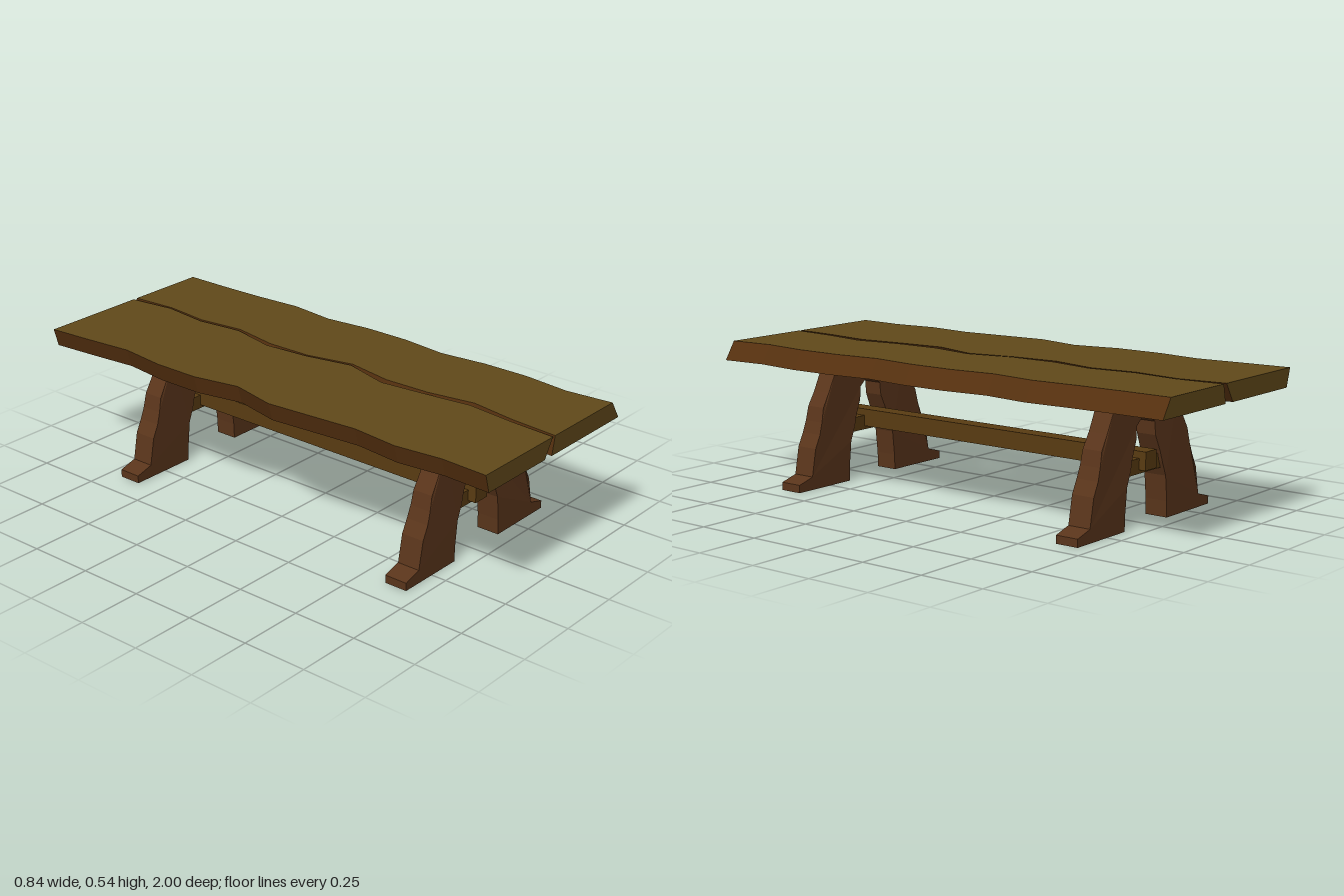
import * as THREE from 'three';

const paint = (color) => new THREE.MeshStandardMaterial({ color, flatShading: true });

const TOP = 0.535, UNDER = 0.465;

// Wavy slab: left and right top edges sampled along z, undersides shifted sideways.
function makePlank(name, left, right, leftShift, rightShift, materials) {
  const n = left.length;
  const rings = left.map((xl, i) => {
    const z = -1 + (2 * i) / (n - 1), xr = right[i];
    return [[xl, TOP, z], [xr, TOP, z], [xr + rightShift, UNDER, z], [xl + leftShift, UNDER, z]];
  });
  const faces = [], edges = [];
  const quad = (list, a, b, c, d) => list.push(...a, ...b, ...c, ...a, ...c, ...d);
  for (let i = 0; i < n - 1; i++) {
    for (let k = 0; k < 4; k++) {
      const m = (k + 1) % 4;
      quad(k % 2 ? edges : faces, rings[i][k], rings[i + 1][k], rings[i + 1][m], rings[i][m]);
    }
  }
  quad(faces, ...rings[0]);
  quad(faces, ...[...rings[n - 1]].reverse());

  const geo = new THREE.BufferGeometry();
  geo.setAttribute('position', new THREE.Float32BufferAttribute([...faces, ...edges], 3));
  geo.addGroup(0, faces.length / 3, 0);
  geo.addGroup(faces.length / 3, edges.length / 3, 1);
  geo.computeVertexNormals();
  const mesh = new THREE.Mesh(geo, materials);
  mesh.name = name;
  return mesh;
}

// Arched leg pair: one half outline, mirrored, with a waisted thickness.
function makeLegGeometry() {
  const outer = [[0.408, 0], [0.408, 0.03], [0.338, 0.05], [0.318, 0.155], [0.293, 0.205],
    [0.278, 0.25], [0.266, 0.305], [0.233, 0.36], [0.193, 0.44], [0.185, 0.47]];
  const inner = [[0.132, 0], [0.13, 0.06], [0.12, 0.155], [0.098, 0.21], [0.086, 0.25],
    [0.06, 0.31], [0.055, 0.36]];
  const flip = (pts) => pts.map(([x, y]) => [-x, y]);
  const outline = [
    ...outer, ...flip(outer).reverse(),
    ...flip(inner), [0, 0.407], ...[...inner].reverse(),
  ].map(([x, y]) => new THREE.Vector2(x, y));

  const geo = new THREE.ExtrudeGeometry(new THREE.Shape(outline), { depth: 1, bevelEnabled: false });
  geo.translate(0.0125, 0, -0.5);
  const pos = geo.attributes.position;
  for (let i = 0; i < pos.count; i++) {
    const y = pos.getY(i);
    const thickness = y < 0.2 ? 0.09 : 0.09 - 0.014 * Math.sin(Math.PI * Math.min(1, (y - 0.2) / 0.35));
    pos.setZ(i, pos.getZ(i) * thickness);
  }
  geo.computeVertexNormals();
  return geo;
}

// Box whose underside is drawn in on all sides.
function makeTaperedBox(w, h, d, inset) {
  const geo = new THREE.BoxGeometry(w, h, d);
  const pos = geo.attributes.position;
  for (let i = 0; i < pos.count; i++) {
    if (pos.getY(i) < 0) pos.setZ(i, pos.getZ(i) - Math.sign(pos.getZ(i)) * inset);
  }
  geo.computeVertexNormals();
  return geo;
}

export function createModel() {
  const table = new THREE.Group();
  table.name = 'trestleTable';

  const topWood = paint(0x61491a), edgeWood = paint(0x55300f);
  const legWood = paint(0x5a351b), boardWood = paint(0x5e2f20), beamWood = paint(0x5a3c12);

  const add = (parent, name, geo, mat, x, y, z) => {
    const mesh = new THREE.Mesh(geo, mat);
    mesh.name = name;
    mesh.position.set(x, y, z);
    parent.add(mesh);
  };

  // Two live-edge planks with a crooked gap between them
  table.add(makePlank('rightPlank',
    [-0.42, -0.405, -0.387, -0.41, -0.41, -0.375, -0.417, -0.402, -0.387, -0.407, -0.387, -0.395],
    [0.005, 0.028, 0.005, 0.025, -0.017, -0.002, 0.035, -0.018, 0, 0.022, 0, -0.012],
    0.02, -0.043, [topWood, edgeWood]));
  table.add(makePlank('leftPlank',
    [0.023, 0.036, 0.016, 0.037, 0.003, 0.006, 0.046, 0.012, 0.017, 0.046, 0.016, 0.001],
    [0.345, 0.345, 0.35, 0.362, 0.34, 0.36, 0.36, 0.34, 0.36, 0.362, 0.342, 0.358],
    -0.015, 0.045, [topWood, edgeWood]));

  // A trestle near each end
  const legGeo = makeLegGeometry();
  const boardGeo = makeTaperedBox(0.58, 0.04, 0.16, 0.02);
  const barGeo = new THREE.BoxGeometry(0.25, 0.055, 0.06);
  for (const side of [1, -1]) {
    const trestle = new THREE.Group();
    trestle.name = side > 0 ? 'frontTrestle' : 'backTrestle';
    add(trestle, 'legs', legGeo, legWood, 0, 0, side * 0.645);
    add(trestle, 'topBoard', boardGeo, boardWood, -0.01, 0.46, side * 0.715);
    add(trestle, 'crossbar', barGeo, beamWood, 0.0125, 0.2125, side * 0.645);
    table.add(trestle);
  }

  // Long beam joining the trestles
  add(table, 'stretcher', new THREE.BoxGeometry(0.067, 0.067, 1.41), beamWood, 0.005, 0.232, 0.003);

  return table;
}
